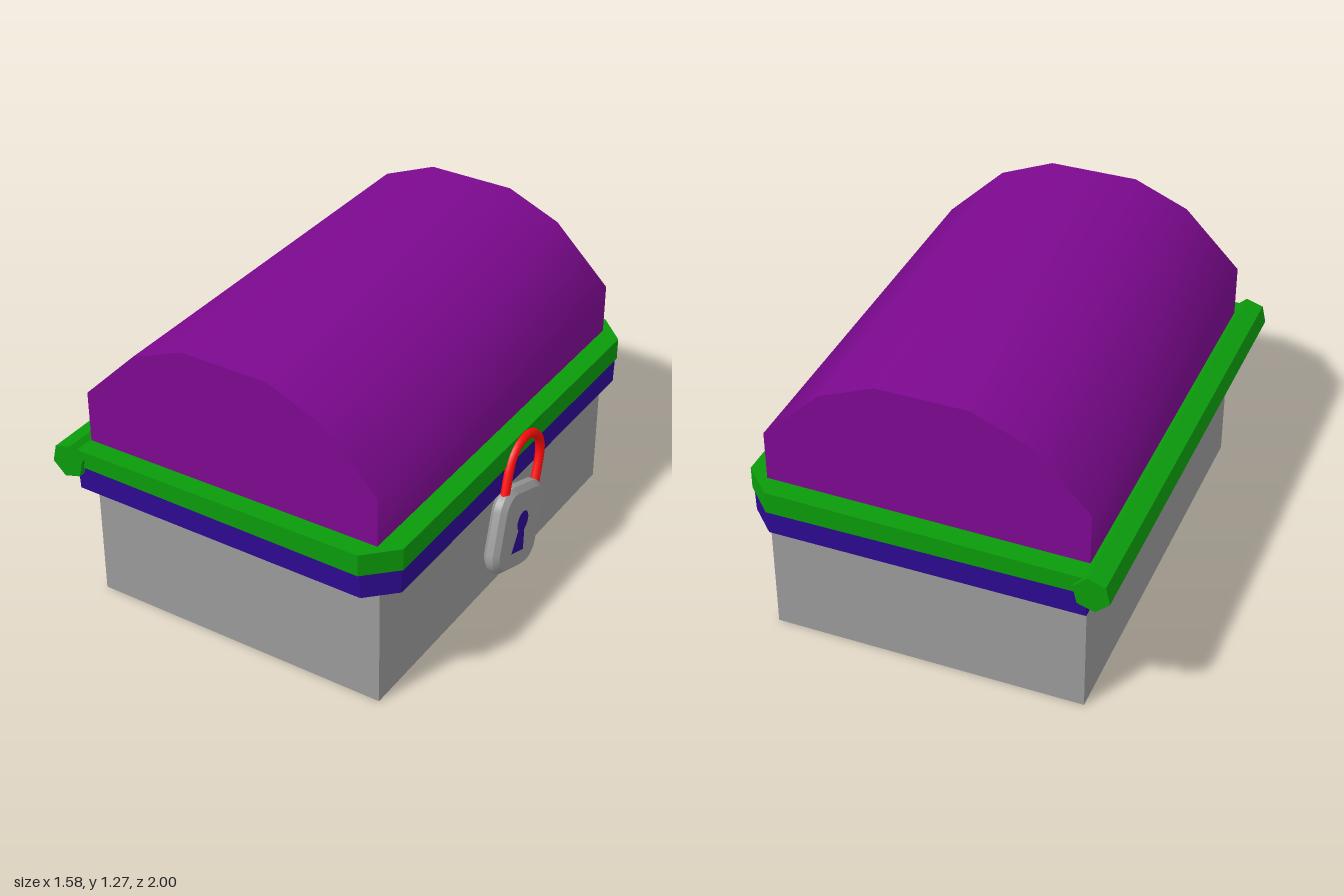
import * as THREE from 'three';
import { toCreasedNormals } from 'three/addons/utils/BufferGeometryUtils.js';

const mat = (color) => new THREE.MeshStandardMaterial({ color });
const grey = mat(0x9a9a9a), purple = mat(0x7d0990), green = mat(0x0b9b0b);
const indigo = mat(0x2e0a93), red = mat(0xff0a0a);

function add(parent, name, geometry, material) {
  const mesh = new THREE.Mesh(geometry, material);
  mesh.name = name;
  parent.add(mesh);
  return mesh;
}

const polygon = (pts) => new THREE.Shape(pts.map(([x, y]) => new THREE.Vector2(x, y)));

// Flat slab with the two corners on the +x side cut off
function bandGeometry(x0, x1, halfZ, y0, y1, cut) {
  const shape = polygon([
    [x0, -halfZ], [x1 - cut, -halfZ], [x1, -halfZ + cut],
    [x1, halfZ - cut], [x1 - cut, halfZ], [x0, halfZ],
  ]);
  return new THREE.ExtrudeGeometry(shape, { depth: y1 - y0, bevelEnabled: false })
    .rotateX(-Math.PI / 2).translate(0, y0, 0);
}

// Apply a rule to every vertex, then rebuild the normals
function reshape(geometry, rule) {
  const p = geometry.attributes.position, v = new THREE.Vector3();
  for (let i = 0; i < p.count; i++) {
    rule(v.fromBufferAttribute(p, i));
    p.setXYZ(i, v.x, v.y, v.z);
  }
  geometry.computeVertexNormals();
  return geometry;
}

function roundedSquare(w, h, r) {
  const s = new THREE.Shape(), a = w / 2 - r, b = h / 2 - r;
  s.absarc(a, b, r, 0, Math.PI / 2);
  s.absarc(-a, b, r, Math.PI / 2, Math.PI);
  s.absarc(-a, -b, r, Math.PI, Math.PI * 1.5);
  s.absarc(a, -b, r, Math.PI * 1.5, Math.PI * 2);
  return s;
}

// Padlock, built upright and facing +z
function createPadlock() {
  const lock = new THREE.Group();
  lock.name = 'padlock';

  // Body with a chamfered rim
  const body = new THREE.ExtrudeGeometry(roundedSquare(0.305, 0.32, 0.075), {
    depth: 0.03, bevelThickness: 0.02, bevelSize: 0.022, bevelSegments: 1, curveSegments: 5,
  }).translate(0, 0, -0.015);
  add(lock, 'lockBody', toCreasedNormals(body, 0.5), grey);

  // Keyhole: a disc over a flared slot
  add(lock, 'keyholeDisc', new THREE.CircleGeometry(0.045, 20).translate(0, 0.03, 0.037), indigo);
  const slot = polygon([[-0.054, -0.1], [0.048, -0.1], [0.022, 0.01], [-0.022, 0.01]]);
  add(lock, 'keyholeSlot', new THREE.ShapeGeometry(slot).translate(0, 0, 0.037), indigo);

  // Shackle: two straight legs joined by a half ellipse
  const path = [new THREE.Vector3(-0.128, 0.13, 0)];
  for (let i = 0; i <= 8; i++) {
    const a = Math.PI * (1 - i / 8);
    path.push(new THREE.Vector3(0.128 * Math.cos(a), 0.268 + 0.12 * Math.sin(a), 0));
  }
  path.push(new THREE.Vector3(0.128, 0.13, 0));
  add(lock, 'shackle', new THREE.TubeGeometry(new THREE.CatmullRomCurve3(path), 32, 0.02, 8), red);

  lock.rotation.set(-0.035, Math.PI / 2, -0.33, 'YXZ');
  lock.position.set(0.749, 0.34, 0.047);
  return lock;
}

export function createModel() {
  const chest = new THREE.Group();
  chest.name = 'chest';

  add(chest, 'base', new THREE.BoxGeometry(1.31, 0.6, 1.78).translate(-0.005, 0.3, 0.005), grey);

  // Lower band, slightly narrower at its bottom edge
  const lower = reshape(bandGeometry(-0.687, 0.722, 0.973, 0.53, 0.642, 0.11), (v) => {
    if (v.y < 0.6) v.z *= 0.994;
  });
  add(chest, 'lowerBand', lower, indigo);

  // Upper band, a little thicker towards the lock side
  const upper = reshape(bandGeometry(-0.68, 0.73, 0.983, 0.643, 0.727, 0.12), (v) => {
    v.y += (v.y > 0.7 ? 0.007 : -0.004) * v.x / 0.7;
  });
  add(chest, 'upperBand', upper, green);

  // Faceted hinge rod along the back
  const rod = new THREE.CylinderGeometry(0.076, 0.076, 2, 6).toNonIndexed();
  const hinge = add(chest, 'hingeRod', toCreasedNormals(rod, 0.3).rotateX(Math.PI / 2), green);
  hinge.rotation.z = -0.23;
  hinge.position.set(-0.715, 0.664, 0);

  // Arched lid
  const arch = polygon([
    [-0.673, 0.68], [0.642, 0.68], [0.642, 0.945], [0.4, 1.18],
    [0.17, 1.275], [-0.205, 1.275], [-0.435, 1.18], [-0.673, 0.94],
  ]);
  const lid = new THREE.ExtrudeGeometry(arch, { depth: 1.795, bevelEnabled: false }).translate(0, 0, -0.895);
  add(chest, 'lid', toCreasedNormals(lid, 1), purple);

  chest.add(createPadlock());
  return chest;
}
